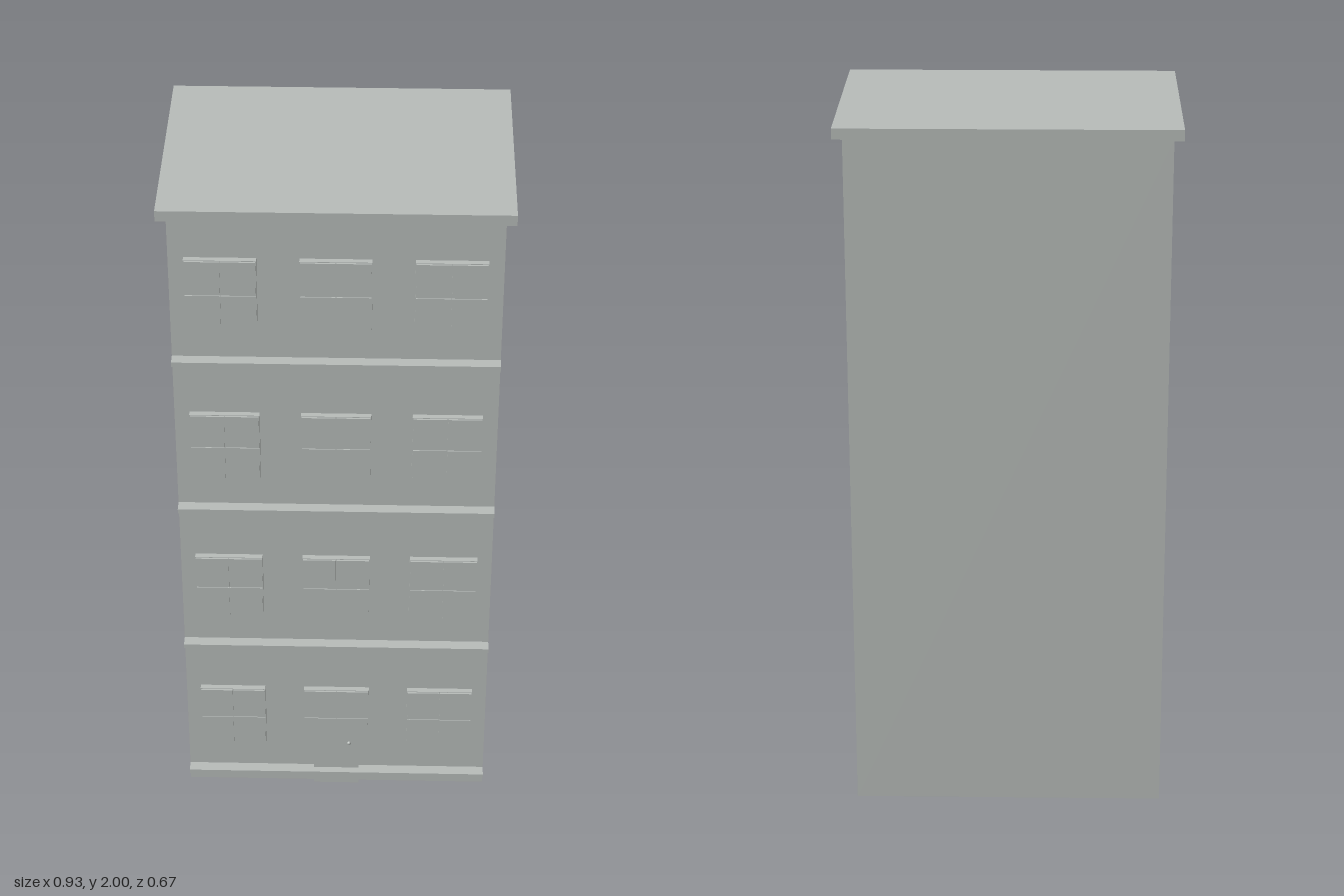
import * as THREE from 'three';

const stone = new THREE.MeshStandardMaterial({ color: 0xb8bdba });
stone.name = 'pale stone';

const FRONT = 0.304; // z of the facade
const STOREY = 0.492;

// Box given by its minimum and maximum corners
function slab(name, x0, x1, y0, y1, z0, z1) {
  const mesh = new THREE.Mesh(new THREE.BoxGeometry(x1 - x0, y1 - y0, z1 - z0), stone);
  mesh.position.set((x0 + x1) / 2, (y0 + y1) / 2, (z0 + z1) / 2);
  mesh.name = name;
  return mesh;
}

// Window: backing slab with four panes parted by fine grooves
function makeWindow(x, y) {
  const group = new THREE.Group();
  group.name = 'window';
  const w = 0.095, h = 0.105, gap = 0.001;
  group.add(slab('windowFrame', -w, w, -h, h, FRONT - 0.005, FRONT + 0.016));
  for (const sx of [-1, 1]) {
    for (const sy of [-1, 1]) {
      const xs = [sx * gap, sx * (w - 0.002)].sort((a, b) => a - b);
      const ys = [sy * gap, sy * (h - 0.002)].sort((a, b) => a - b);
      group.add(slab('windowPane', ...xs, ...ys, FRONT + 0.015, FRONT + 0.021));
    }
  }
  group.position.set(x, y, 0);
  return group;
}

export function createModel() {
  const building = new THREE.Group();
  building.name = 'building';

  // Main block and overhanging roof
  building.add(slab('walls', -0.438, 0.438, 0, 1.97, -0.309, FRONT));
  building.add(slab('roof', -0.464, 0.464, 1.97, 2, -0.337, 0.33));

  // Each storey has a ledge and three windows
  for (let i = 0; i < 4; i++) {
    const y = i * STOREY;
    building.add(slab('ledge', -0.438, 0.438, y + 0.047, y + 0.061, FRONT - 0.005, 0.337));
    for (const x of [-0.302, 0, 0.302]) building.add(makeWindow(x, y + 0.266));
  }

  // Door with a small knob
  building.add(slab('door', -0.067, 0.066, 0, 0.28, FRONT - 0.005, FRONT + 0.012));
  const knob = new THREE.Mesh(new THREE.SphereGeometry(0.006, 12, 8), stone);
  knob.name = 'doorKnob';
  knob.position.set(0.038, 0.168, FRONT + 0.02);
  building.add(knob);

  return building;
}
